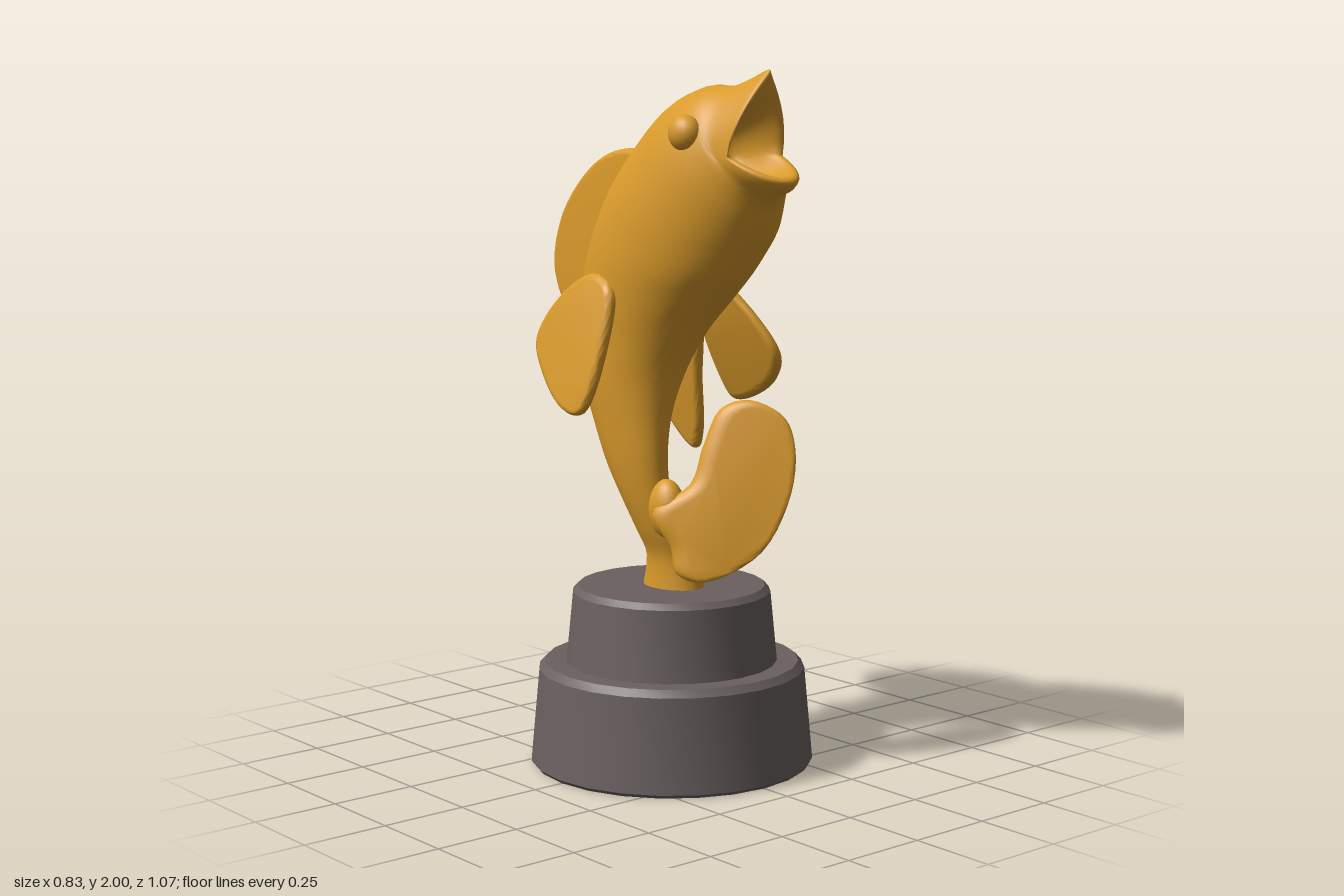
import * as THREE from 'three';
import { toCreasedNormals } from 'three/addons/utils/BufferGeometryUtils.js';

const gold = new THREE.MeshStandardMaterial({ color: 0xd99a2b });
gold.name = 'gold';
const stone = new THREE.MeshStandardMaterial({ color: 0x6a6060 });
stone.name = 'stone';

function part(name, geometry, material) {
  const mesh = new THREE.Mesh(geometry, material);
  mesh.name = name;
  return mesh;
}

// Two-tier tapered pedestal
function pedestal() {
  const profile = [
    [0, 0], [0.405, 0], [0.413, 0.01], [0.388, 0.28], [0.37, 0.3], [0.308, 0.3],
    [0.288, 0.505], [0.272, 0.522], [0, 0.522],
  ].map(([r, y]) => new THREE.Vector2(r, y));
  return toCreasedNormals(new THREE.LatheGeometry(profile, 24), 0.5);
}

// Body stations: belly z,y | back z,y | centre x, half width | optional widest z,y, sharpness of upper half
const stations = [
  [0.116, 0.51, -0.095, 0.51, 0, 0.078],
  [0.094, 0.61, -0.065, 0.61, -0.015, 0.062],
  [0.085, 0.70, -0.07, 0.68, -0.05, 0.057],
  [0.067, 0.80, -0.105, 0.78, -0.08, 0.06],
  [0.063, 0.92, -0.155, 0.88, -0.092, 0.073],
  [0.065, 1.04, -0.21, 1.00, -0.085, 0.097],
  [0.09, 1.16, -0.27, 1.12, -0.065, 0.13],
  [0.15, 1.27, -0.305, 1.24, -0.045, 0.155],
  [0.23, 1.36, -0.303, 1.37, -0.027, 0.178],
  [0.30, 1.43, -0.265, 1.51, -0.02, 0.19],
  [0.355, 1.50, -0.19, 1.66, -0.012, 0.195],
  [0.385, 1.54, -0.08, 1.79, -0.01, 0.188],
  [0.41, 1.585, 0.06, 1.905, -0.015, 0.168],
  [0.43, 1.625, 0.20, 1.957, -0.02, 0.14],
  [0.46, 1.655, 0.30, 1.957, -0.027, 0.12, 0.34, 1.78, 1.2],
  [0.51, 1.675, 0.385, 1.98, -0.035, 0.108, 0.378, 1.765, 1.6],
  // lip rim, then the hollow mouth
  [0.535, 1.70, 0.455, 2.0, -0.04, 0.102, 0.395, 1.768, 2.2],
  [0.51, 1.715, 0.44, 1.965, -0.04, 0.086, 0.385, 1.775, 2],
  [0.42, 1.70, 0.37, 1.90, -0.037, 0.07, 0.35, 1.775, 1.4],
  [0.30, 1.70, 0.25, 1.83, -0.03, 0.045, 0.26, 1.76, 1],
  [0.24, 1.755, 0.24, 1.765, -0.03, 0.004, 0.24, 1.76, 1],
].map((s) => (s.length > 6 ? s : [...s, (s[0] + s[2]) / 2, (s[1] + s[3]) / 2, 1]));

// Smooth loft through the stations
function fishBody() {
  const rings = 80, sides = 40;
  const tracks = stations[0].map((_, k) =>
    new THREE.SplineCurve(stations.map((s, i) => new THREE.Vector2(i, s[k]))));
  const pos = [], index = [];
  for (let i = 0; i <= rings; i++) {
    const [fz, fy, bz, by, cx, w, sz, sy, sharp] = tracks.map((t) => t.getPoint(i / rings).y);
    for (let j = 0; j < sides; j++) {
      const a = (j / sides) * Math.PI * 2;
      const c = Math.cos(a), s = Math.sin(a), m = Math.abs(c);
      const [ez, ey] = c > 0 ? [bz, by] : [fz, fy];
      const x = w * Math.sign(s) * Math.pow(Math.abs(s), c > 0 ? sharp : 1);
      pos.push(cx + x, sy + (ey - sy) * m, sz + (ez - sz) * m);
      if (i < rings) {
        const p = i * sides + j, q = i * sides + ((j + 1) % sides);
        index.push(p, p + sides, q, q, p + sides, q + sides);
      }
    }
  }
  const g = new THREE.BufferGeometry();
  g.setAttribute('position', new THREE.Float32BufferAttribute(pos, 3));
  g.setIndex(index);
  g.computeVertexNormals();
  return g;
}

// Thin rounded slab from a smooth closed outline
function finSlab(outline, thickness) {
  const curve = new THREE.CatmullRomCurve3(outline.map(([u, v]) => new THREE.Vector3(u, v, 0)), true);
  const shape = new THREE.Shape(curve.getPoints(56).slice(0, -1).map((p) => new THREE.Vector2(p.x, p.y)));
  const g = new THREE.ExtrudeGeometry(shape, {
    depth: 0.004, bevelThickness: thickness / 2, bevelSize: 0.018, bevelOffset: -0.018, bevelSegments: 4,
  });
  return g.translate(0, 0, -0.002);
}

// Leans a slab by a rule and smooths its normals
function lean(g, rule) {
  const p = g.attributes.position;
  const v = new THREE.Vector3();
  for (let i = 0; i < p.count; i++) {
    v.fromBufferAttribute(p, i);
    rule(v);
    p.setXYZ(i, v.x, v.y, v.z);
  }
  return toCreasedNormals(g, 1);
}

// Fin lying along the body: outline in z,y
function sideFin(outline, thickness, rule) {
  return lean(finSlab(outline, thickness).rotateY(-Math.PI / 2), rule);
}

export function createModel() {
  const model = new THREE.Group();
  model.name = 'fishTrophy';
  model.add(part('pedestal', pedestal(), stone));
  model.add(part('body', fishBody(), gold));

  // Eyes
  for (const [name, x] of [['leftEye', 0.115], ['rightEye', -0.158]]) {
    const eye = part(name, new THREE.SphereGeometry(1, 20, 14), gold);
    eye.scale.set(0.042, 0.05, 0.052);
    eye.position.set(x, 1.83, 0.243);
    model.add(eye);
  }

  // Dorsal fin
  model.add(part('dorsalFin', sideFin([
    [-0.09, 1.765], [-0.17, 1.777], [-0.285, 1.752], [-0.4, 1.68], [-0.497, 1.57], [-0.538, 1.43],
    [-0.5, 1.325], [-0.42, 1.26], [-0.345, 1.242], [-0.31, 1.32], [-0.23, 1.45], [-0.13, 1.65],
  ], 0.05, (v) => { v.x += -0.02 - 0.06 * (v.z + 0.1); }), gold));

  // Pectoral and pelvic fins
  model.add(part('leftFrontFin', sideFin([
    [0.01, 1.417], [0.14, 1.31], [0.2, 1.19], [0.14, 1.105], [-0.02, 1.035], [-0.06, 1.04],
    [-0.095, 1.15], [-0.1, 1.28], [-0.08, 1.39],
  ], 0.034, (v) => { v.x += 0.148 + (1.41 - v.y) * 0.39; }), gold));
  model.add(part('leftRearFin', sideFin([
    [-0.09, 1.4], [-0.25, 1.3], [-0.363, 1.13], [-0.31, 1.0], [-0.18, 0.875], [-0.145, 0.93],
    [-0.115, 1.1], [-0.075, 1.28],
  ], 0.034, (v) => { v.x += 0.152 + (1.41 - v.y) * 0.18; }), gold));
  model.add(part('rightFin', sideFin([
    [-0.01, 1.39], [0, 1.22], [-0.055, 1.04], [-0.14, 1.045], [-0.25, 1.13], [-0.308, 1.23],
    [-0.24, 1.35], [-0.1, 1.43],
  ], 0.034, (v) => { v.x -= 0.205 + (1.41 - v.y) * 0.21; }), gold));

  // Tail fin, turned diagonally in front of the stem
  model.add(part('tailFin', lean(finSlab([
    [-0.112, 0.59], [-0.115, 0.66], [-0.14, 0.76], [-0.055, 0.84], [-0.015, 0.95], [0.035, 1.055],
    [0.09, 1.077], [0.147, 1.035], [0.16, 0.94], [0.125, 0.785], [0.045, 0.64], [-0.075, 0.568],
  ], 0.048), (v) => { v.z += v.x + 0.15 + (1.07 - v.y) * 0.26; }), gold));
  const root = part('tailRoot', new THREE.SphereGeometry(1, 20, 14), gold);
  root.scale.set(0.047, 0.085, 0.06);
  root.position.set(-0.085, 0.765, 0.08);
  model.add(root);

  return model;
}
